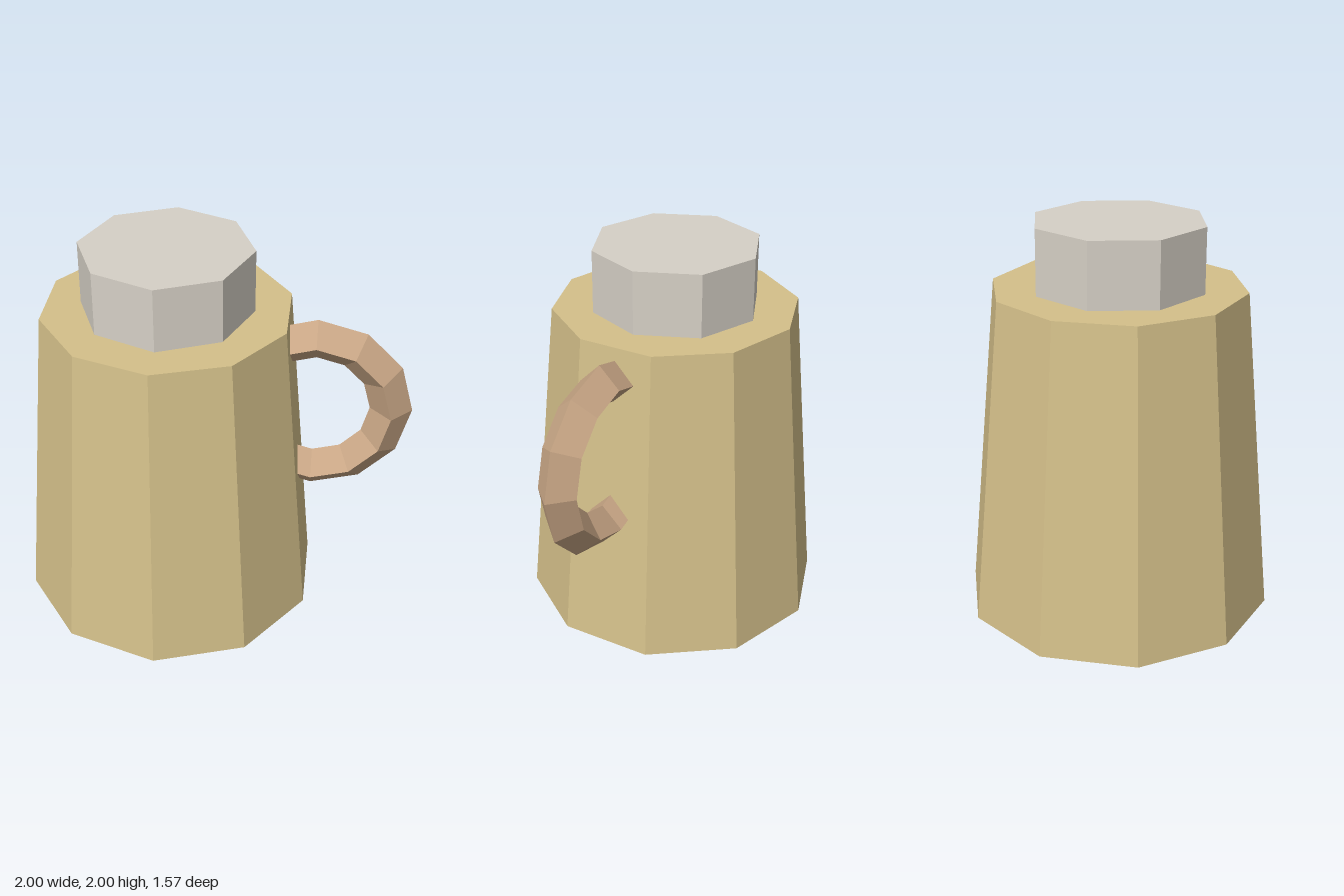
import * as THREE from 'three';

const BODY_X = -0.25;
const BODY_HEIGHT = 1.67;

function part(name, geometry, color, x, y) {
  const material = new THREE.MeshStandardMaterial({ color, flatShading: true });
  const mesh = new THREE.Mesh(geometry, material);
  mesh.name = name;
  mesh.position.set(x, y, 0);
  return mesh;
}

export function createModel() {
  const group = new THREE.Group();
  group.name = 'tankard';

  // Tapered ten-sided body
  group.add(part('body', new THREE.CylinderGeometry(0.637, 0.787, BODY_HEIGHT, 10),
    0xd4c08a, BODY_X, BODY_HEIGHT / 2));

  // Eight-sided lid standing on the body
  const lidHeight = 2 - BODY_HEIGHT;
  group.add(part('lid', new THREE.CylinderGeometry(0.437, 0.437, lidHeight, 8),
    0xd6d0c6, BODY_X, BODY_HEIGHT + lidHeight / 2));

  // Ring handle with a diamond section, its inner half sunk into the body
  group.add(part('handle', new THREE.TorusGeometry(0.392, 0.108, 4, 12),
    0xc8a685, 0.5, 1.14));

  return group;
}
